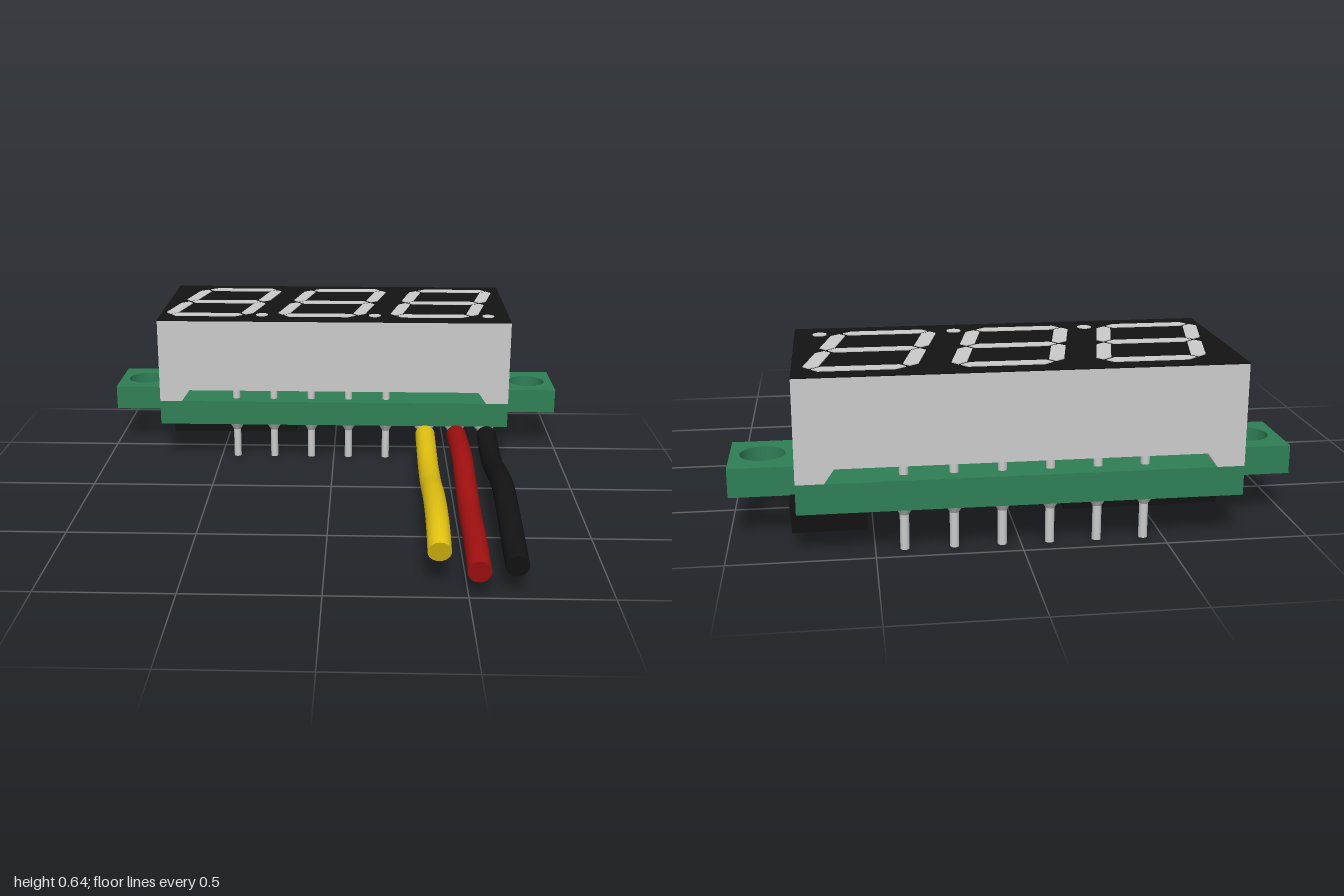
import * as THREE from 'three';

const mat = (color) => new THREE.MeshStandardMaterial({ color });
const grey = mat(0xcccccc);
const black = mat(0x131313);
const green = mat(0x2f7f55);
const yellow = mat(0xe0c010);
const red = mat(0xa01010);

const PIN_X = [-0.43, -0.265, -0.1, 0.065, 0.23, 0.4];
const BACK_Z = -0.93, FRONT_Z = -0.37, MID_Z = -0.655;

function add(parent, name, geometry, material, x = 0, y = 0, z = 0) {
  const mesh = new THREE.Mesh(geometry, material);
  mesh.name = name;
  mesh.position.set(x, y, z);
  parent.add(mesh);
  return mesh;
}

// Shape drawn from [x, z] pairs, lying flat in the ground plane
function flatShape(points) {
  return new THREE.Shape(points.map(([x, z]) => new THREE.Vector2(x, -z)));
}

function slab(shape, depth) {
  return new THREE.ExtrudeGeometry(shape, { depth, bevelEnabled: false, curveSegments: 24 }).rotateX(-Math.PI / 2);
}

// Circuit board with two mounting ears
function board(parent) {
  const right = [[0.76, -0.31], [0.76, -0.52], [0.995, -0.52], [0.995, -0.81], [0.76, -0.81], [0.76, -1]];
  const left = right.map(([x, z]) => [-x, z]).reverse();
  const shape = flatShape([...right, ...left]);
  for (const x of [-0.88, 0.88]) {
    shape.holes.push(new THREE.Path().absarc(x, 0.66, 0.08, 0, Math.PI * 2, true));
  }
  add(parent, 'circuitBoard', slab(shape, 0.105), green, 0, 0.165, 0);
}

// Corner foot, its two inner sides sloping outward toward the board
function foot(sx, sz) {
  const g = new THREE.BoxGeometry(2, 2, 2);
  const p = g.attributes.position;
  for (let i = 0; i < p.count; i++) {
    const top = p.getY(i) > 0;
    const x = p.getX(i) * sx > 0 ? 0.76 : top ? 0.63 : 0.665;
    const z = p.getZ(i) * sz > 0 ? 0.345 : top ? 0.22 : 0.247;
    p.setXYZ(i, x * sx, top ? 0.32 : 0.27, MID_Z + z * sz);
  }
  g.computeVertexNormals();
  return g;
}

function displayBody(parent) {
  add(parent, 'displayHousing', new THREE.BoxGeometry(1.52, 0.31, 0.69), grey, 0, 0.475, MID_Z);
  for (const sx of [-1, 1]) for (const sz of [-1, 1]) add(parent, 'housingFoot', foot(sx, sz), grey);
  add(parent, 'displayFace', new THREE.BoxGeometry(1.52, 0.004, 0.69), black, 0, 0.632, MID_Z);
}

// One bar of a digit: a pointed hexagon between two nodes, slanted with the digit
function segment([ax, az], [bx, bz]) {
  const len = Math.hypot(bx - ax, bz - az);
  const ux = (bx - ax) / len, uz = (bz - az) / len;
  const w = 0.026, gap = 0.01;
  const outline = [[gap, 0], [gap + w, w], [len - gap - w, w], [len - gap, 0], [len - gap - w, -w], [gap + w, -w]];
  return slab(flatShape(outline.map(([t, s]) => {
    const x = ax + ux * t - uz * s, z = az + uz * t + ux * s;
    return [x - 0.22 * z, z];
  })), 0.003);
}

function digit(parent, x) {
  const g = new THREE.Group();
  g.name = 'digit';
  g.position.set(x, 0.634, -0.66);
  const w = 0.165, h = 0.248;
  for (const z of [-h, 0, h]) add(g, 'horizontalSegment', segment([-w, z], [w, z]), grey);
  for (const sx of [-w, w]) {
    add(g, 'upperSegment', segment([sx, -h], [sx, 0]), grey);
    add(g, 'lowerSegment', segment([sx, 0], [sx, h]), grey);
  }
  add(g, 'decimalPoint', new THREE.CylinderGeometry(0.026, 0.026, 0.003, 24), grey, 0.185, 0.0015, 0.245);
  parent.add(g);
}

// Pin through the board with its solder cone underneath
function pin(parent, x, z) {
  const g = new THREE.Group();
  g.name = 'pin';
  g.position.set(x, 0, z);
  add(g, 'pinShaft', new THREE.CylinderGeometry(0.016, 0.016, 0.33, 12), grey, 0, 0.165, 0);
  add(g, 'solderCone', new THREE.CylinderGeometry(0.04, 0.016, 0.04, 16), grey, 0, 0.146, 0);
  parent.add(g);
}

// Component under the board, slightly narrower at the bottom
function chip(parent, name, x0, x1, z0, z1) {
  const g = new THREE.BoxGeometry(x1 - x0, 0.108, z1 - z0);
  const p = g.attributes.position;
  for (let i = 0; i < p.count; i++) {
    if (p.getY(i) > 0) continue;
    p.setX(i, p.getX(i) - Math.sign(p.getX(i)) * 0.006);
    p.setZ(i, p.getZ(i) - Math.sign(p.getZ(i)) * 0.006);
  }
  g.computeVertexNormals();
  add(parent, name, g, black, (x0 + x1) / 2, 0.114, (z0 + z1) / 2);
}

// Insulated wire: soldered blob, bare core and a wavy sleeve given as [z, y] points
function wire(parent, name, x, material, path) {
  const g = new THREE.Group();
  g.name = name;
  const r = 0.042, sides = 20;
  const curve = new THREE.CatmullRomCurve3(path.map(([z, y]) => new THREE.Vector3(x, y, z)));
  add(g, 'sleeve', new THREE.TubeGeometry(curve, 60, r, sides), material);
  for (const t of [0, 1]) {
    const cap = add(g, 'sleeveEnd', new THREE.CircleGeometry(r, sides), material);
    const dir = curve.getTangentAt(t).multiplyScalar(t ? 1 : -1);
    cap.position.copy(curve.getPointAt(t));
    cap.quaternion.setFromUnitVectors(new THREE.Vector3(0, 0, 1), dir);
  }
  const core = new THREE.CylinderGeometry(0.012, 0.012, 0.14, 12).rotateX(Math.PI / 2);
  add(g, 'bareCore', core, grey, x, 0.145, -0.31);
  const blob = add(g, 'solderBlob', new THREE.SphereGeometry(0.046, 20, 12), grey, x, 0.16, FRONT_Z);
  blob.scale.y = 0.9;
  parent.add(g);
}

export function createModel() {
  const model = new THREE.Group();
  model.name = 'digitDisplayModule';

  board(model);
  displayBody(model);
  for (const x of [-0.5, -0.008, 0.484]) digit(model, x);

  // Back row has six pins; the front row leaves room for the wires
  PIN_X.forEach((x, i) => {
    pin(model, x, BACK_Z);
    if (i < 5) pin(model, x, FRONT_Z);
  });

  chip(model, 'largeChip', -0.74, -0.17, -0.8, -0.515);
  chip(model, 'smallChip', 0.52, 0.785, -0.9, -0.69);

  wire(model, 'yellowWire', 0.4, yellow,
    [[-0.26, 0.145], [-0.1, 0.132], [0.1, 0.122], [0.3, 0.135], [0.5, 0.17], [0.72, 0.184], [0.84, 0.172], [0.94, 0.142]]);
  wire(model, 'redWire', 0.535, red,
    [[-0.26, 0.145], [-0.1, 0.16], [0.1, 0.17], [0.3, 0.145], [0.5, 0.118], [0.75, 0.112], [0.9, 0.102], [0.985, 0.09]]);
  wire(model, 'blackWire', 0.665, black,
    [[-0.26, 0.145], [-0.1, 0.128], [0.05, 0.126], [0.22, 0.155], [0.42, 0.182], [0.62, 0.162], [0.8, 0.128], [0.96, 0.102]]);

  return model;
}
